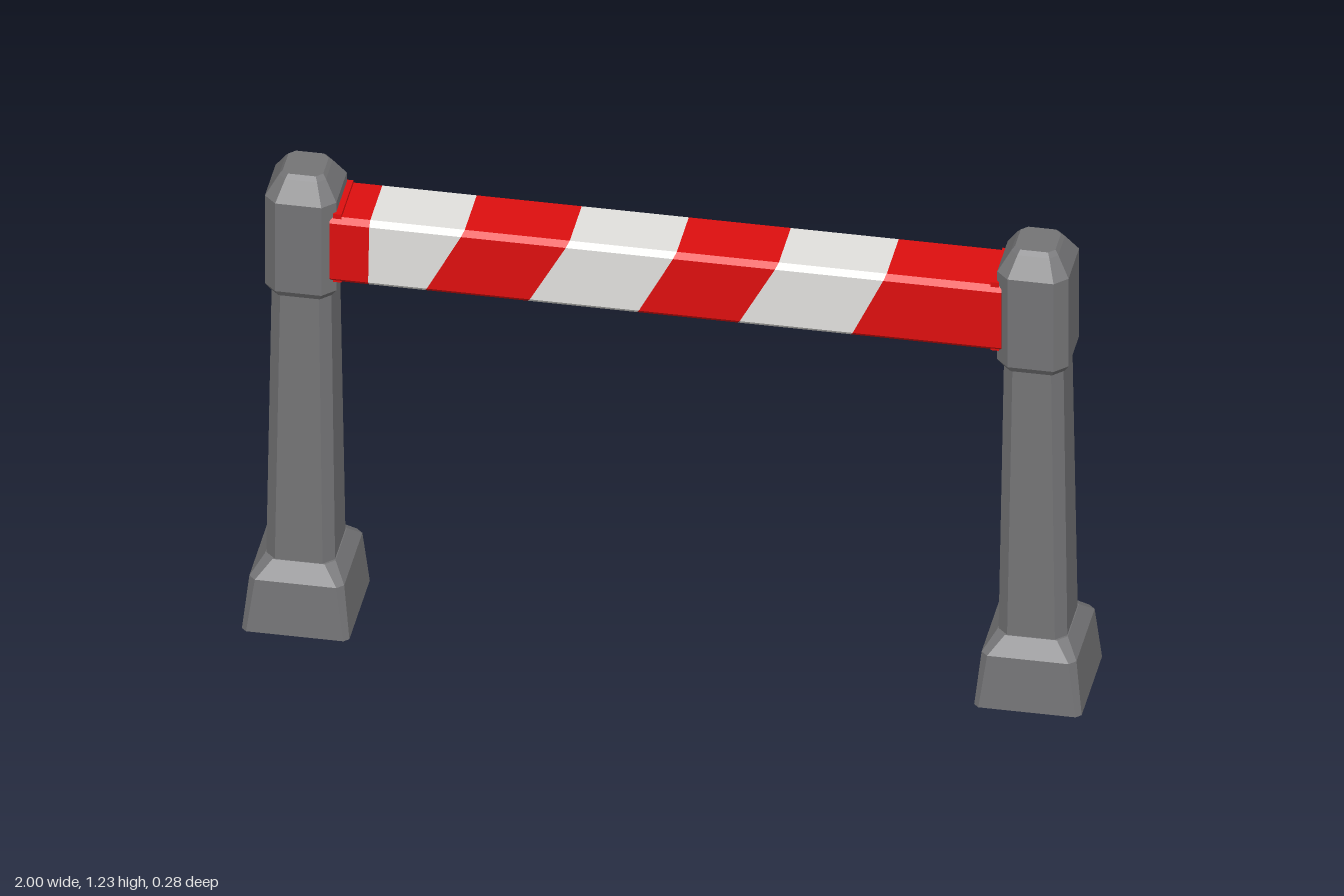
import * as THREE from 'three';

const concrete = new THREE.MeshStandardMaterial({ name: 'concrete grey', color: 0x747476, flatShading: true });
const red = new THREE.MeshStandardMaterial({ name: 'stripe red', color: 0xde0f0f, flatShading: true });
const white = new THREE.MeshStandardMaterial({ name: 'stripe white', color: 0xe2e1de, flatShading: true });

// Rectangle with cut corners, as eight [u, v] points
function cutRect(hu, hv, c) {
  return [
    [hu, -hv + c], [hu, hv - c], [hu - c, hv], [-hu + c, hv],
    [-hu, hv - c], [-hu, -hv + c], [-hu + c, -hv], [hu - c, -hv],
  ];
}

// Skin a stack of equal-length rings and cap both ends
function loft(rings) {
  const n = rings[0].length;
  const index = [];
  for (let i = 0; i < rings.length - 1; i++) {
    for (let j = 0; j < n; j++) {
      const k = (j + 1) % n;
      const a = i * n + j, b = i * n + k, c = a + n, d = b + n;
      index.push(a, c, b, b, c, d);
    }
  }
  const last = (rings.length - 1) * n;
  for (let j = 1; j < n - 1; j++) {
    index.push(0, j, j + 1);
    index.push(last, last + j + 1, last + j);
  }
  const g = new THREE.BufferGeometry();
  g.setAttribute('position', new THREE.Float32BufferAttribute(rings.flat(2), 3));
  g.setIndex(index);
  const flat = g.toNonIndexed();
  flat.computeVertexNormals();
  return flat;
}

function part(name, geometry, material) {
  const mesh = new THREE.Mesh(geometry, material);
  mesh.name = name;
  return mesh;
}

// Upright section from rows of [y, half width, half depth, corner cut]
function upright(rows) {
  return loft(rows.map(([y, hx, hz, c]) => cutRect(hx, hz, c).map(([x, z]) => [x, y, z])));
}

function makePost(name, x) {
  const post = new THREE.Group();
  post.name = name;
  post.add(
    part('foot', upright([
      [0, 0.128, 0.14, 0.012], [0.14, 0.113, 0.13, 0.016], [0.178, 0.084, 0.092, 0.022],
    ]), concrete),
    part('shaft', upright([
      [0.17, 0.082, 0.09, 0.025], [0.92, 0.071, 0.08, 0.025],
    ]), concrete),
    part('head', upright([
      [0.912, 0.074, 0.084, 0.025], [0.93, 0.085, 0.096, 0.03],
      [1.175, 0.085, 0.096, 0.03], [1.222, 0.056, 0.06, 0.018], [1.232, 0.048, 0.05, 0.015],
    ]), concrete),
  );
  post.position.x = x;
  return post;
}

// Beam dimensions
const MID = 1.05, HALF_Y = 0.09, HALF_Z = 0.088;

// One slice of the beam; each end is [x at the bottom, x at the top]
function beamSlice(from, to) {
  const ring = ([x0, x1]) => cutRect(HALF_Z, HALF_Y, 0.013).map(([z, y]) => [
    THREE.MathUtils.lerp(x0, x1, (y + HALF_Y) / (2 * HALF_Y)), MID + y, z - 0.004,
  ]);
  return loft([ring(from), ring(to)]);
}

export function createModel() {
  const model = new THREE.Group();
  model.name = 'barrier';
  model.add(makePost('leftPost', 0.872), makePost('rightPost', -0.872));

  // Slanted stripes, red first
  const beam = new THREE.Group();
  beam.name = 'stripedBeam';
  const cuts = [
    [-0.8, -0.8], [-0.708, -0.705], [-0.575, -0.48], [-0.33, -0.23],
    [-0.07, 0.025], [0.17, 0.268], [0.44, 0.525], [0.8, 0.8],
  ];
  for (let i = 0; i < cuts.length - 1; i++) {
    const isRed = i % 2 === 0;
    beam.add(part(isRed ? 'redStripe' : 'whiteStripe', beamSlice(cuts[i], cuts[i + 1]), isRed ? red : white));
  }
  model.add(beam);

  // Thin collars where the beam meets the posts
  for (const s of [-1, 1]) {
    const collar = part('beamCollar', new THREE.BoxGeometry(0.02, 0.19, 0.15), red);
    collar.position.set(s * 0.783, MID + 0.004, 0);
    model.add(collar);
  }
  return model;
}
